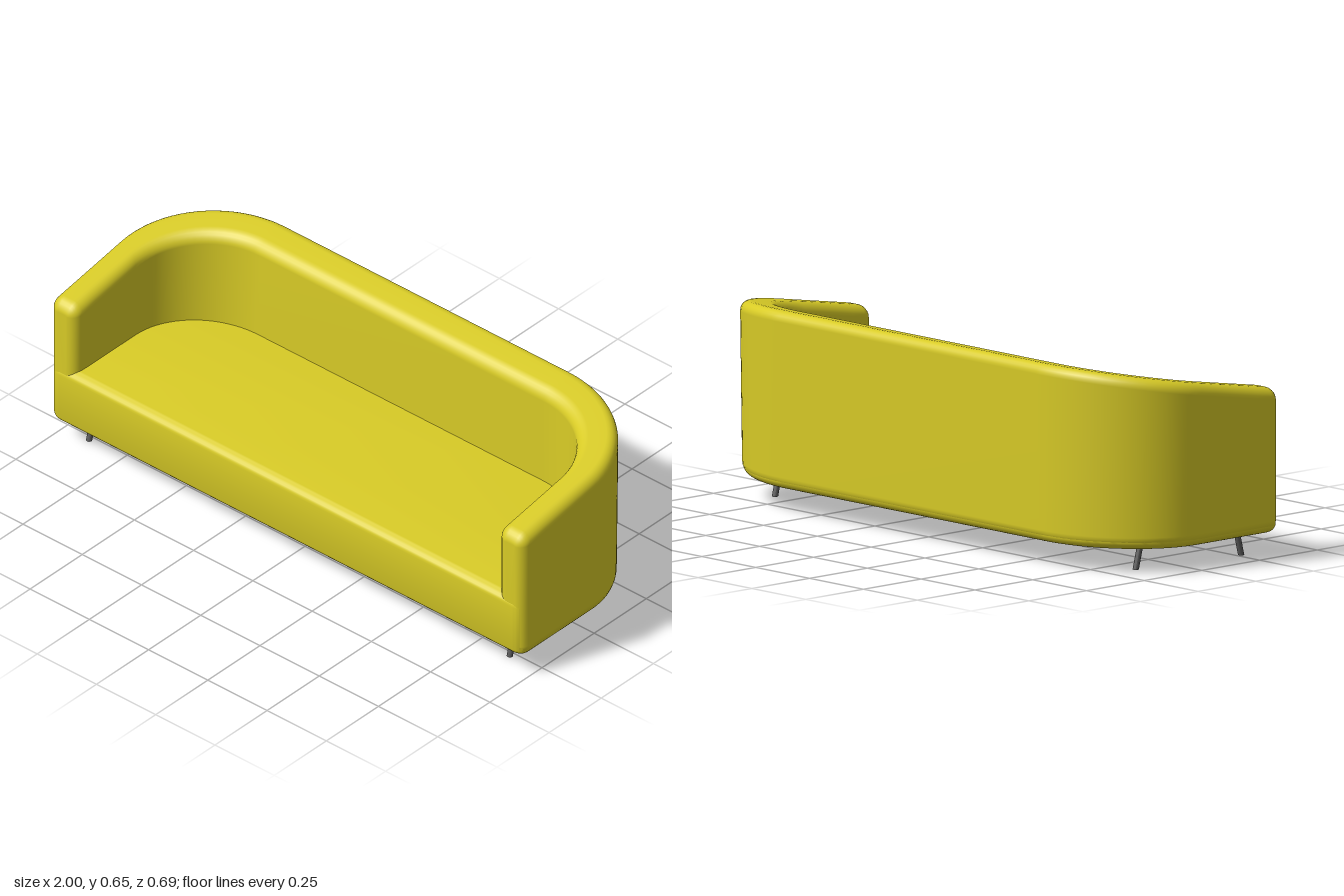
import * as THREE from 'three';
import { toCreasedNormals } from 'three/addons/utils/BufferGeometryUtils.js';

const FRONT = 0.342, BOTTOM = 0.08, R = 0.038;
const topAt = (z) => 0.549 + (0.3 - z) * 0.172;

// The back leans outwards slightly as it rises
const lean = (y, z) => (z < 0 ? z * (1 - 0.075 * (0.62 - y)) : z);

// Plan stations of the wall, from the left arm round the back to the right arm
function wallStations() {
  const half = [];
  for (let i = 0; i <= 6; i++) {            // rounded arm front
    const a = 0.08 + (i / 6) * (Math.PI / 2 - 0.08);
    const z = FRONT - R * (1 - Math.sin(a));
    half.push({ ox: 1, oz: FRONT - R + R * Math.cos(a), ix: 0.89, iz: FRONT - R + R * Math.cos(a), inset: R * (1 - Math.sin(a)), z });
  }
  for (let i = 1; i < 5; i++) {             // straight arm
    const t = i / 5, z0 = FRONT - R;
    half.push({ ox: 1, oz: z0 * (1 - t), ix: 0.89, iz: z0 + (0.05 - z0) * t, inset: 0 });
  }
  for (let i = 0; i <= 20; i++) {           // curved corner
    const a = (i / 20) * Math.PI / 2, c = Math.cos(a), s = Math.sin(a);
    half.push({ ox: 0.6 + 0.4 * c, oz: -0.345 * s, ix: 0.6 + 0.29 * c, iz: 0.05 - 0.262 * s, inset: 0 });
  }
  const mirrored = half.map((p) => ({ ...p, ox: -p.ox, ix: -p.ix })).reverse();
  return [...half, ...mirrored];
}

// Rounded rectangular section swept along the stations, with a sloping top
function wallGeometry() {
  const stations = wallStations(), pos = [], idx = [], N = 7, ring = 4 * N;
  for (const p of stations) {
    const dx = p.ix - p.ox, dz = p.iz - p.oz, w = Math.hypot(dx, dz);
    const r = R - p.inset, k = p.inset;
    const corners = [[w - R, 0, -90], [w - R, 1, 0], [R, 1, 90], [R, 0, 180]];
    for (const [cu, upper, start] of corners) {
      for (let j = 0; j < N; j++) {
        const a = THREE.MathUtils.degToRad(start + 90 * j / (N - 1));
        const u = (cu + r * Math.cos(a)) / w;
        const x = p.ox + dx * u, z = p.oz + dz * u;
        const y = (upper ? topAt(z) - R : BOTTOM + R) + (R - k) * Math.sin(a);
        pos.push(x, y, lean(y, z));
      }
    }
  }
  for (let i = 0; i < stations.length - 1; i++) {
    for (let j = 0; j < ring; j++) {
      const a = i * ring + j, b = i * ring + (j + 1) % ring;
      idx.push(a, b, a + ring, b, b + ring, a + ring);
    }
  }
  // Flat arm fronts
  const last = (stations.length - 1) * ring;
  for (let j = 1; j < ring - 1; j++) {
    idx.push(0, j + 1, j, last, last + j, last + j + 1);
  }
  const g = new THREE.BufferGeometry();
  g.setAttribute('position', new THREE.Float32BufferAttribute(pos, 3));
  g.setIndex(idx);
  g.computeVertexNormals();
  return g;
}

// Bevelled seat block that follows the same plan as the wall
function seatGeometry() {
  const X = 0.997, F = 0.344, c = 0.045, B = 0.03;
  const s = new THREE.Shape();
  s.moveTo(-X + c, -F);
  s.lineTo(X - c, -F);
  s.quadraticCurveTo(X, -F, X, -F + c);
  s.lineTo(X, 0);
  s.absellipse(0.6, 0, X - 0.6, 0.342, 0, Math.PI / 2, false);
  s.lineTo(-0.6, 0.342);
  s.absellipse(-0.6, 0, X - 0.6, 0.342, Math.PI / 2, Math.PI, false);
  s.lineTo(-X, -F + c);
  s.quadraticCurveTo(-X, -F, -X + c, -F);
  const bottom = BOTTOM - 0.002, top = 0.295;
  const g = new THREE.ExtrudeGeometry(s, {
    depth: top - bottom - 2 * B, bevelThickness: B, bevelSize: B, bevelOffset: -B, bevelSegments: 6, curveSegments: 20,
  });
  g.rotateX(-Math.PI / 2).translate(0, bottom + B, 0);
  const p = g.attributes.position;
  for (let i = 0; i < p.count; i++) p.setZ(i, lean(p.getY(i), p.getZ(i)));
  return toCreasedNormals(g, 0.6);
}

// Slanted leg, cut level at the floor
function legGeometry(splay) {
  const h = 0.1, g = new THREE.CylinderGeometry(0.01, 0.01, h, 16);
  g.translate(0, h / 2, 0);
  const p = g.attributes.position;
  for (let i = 0; i < p.count; i++) p.setZ(i, p.getZ(i) - splay * p.getY(i));
  g.computeVertexNormals();
  return toCreasedNormals(g, 0.7);
}

export function createModel() {
  const model = new THREE.Group();
  model.name = 'sofa';
  const fabric = new THREE.MeshStandardMaterial({ color: 0xd8cb26 });
  const metal = new THREE.MeshStandardMaterial({ color: 0x5a5a5a });
  const add = (name, geometry, material) => {
    const mesh = new THREE.Mesh(geometry, material);
    mesh.name = name;
    model.add(mesh);
    return mesh;
  };

  add('backAndArms', wallGeometry(), fabric);
  add('seat', seatGeometry(), fabric);

  // Legs splay towards the front and the back
  const legs = [
    ['frontLeftLeg', 0.88, 0.268, 0.25], ['frontRightLeg', -0.895, 0.268, 0.25],
    ['backLeftLeg', 0.83, -0.142, -0.25], ['backRightLeg', -0.845, -0.142, -0.25],
  ];
  for (const [name, x, z, splay] of legs) {
    add(name, legGeometry(splay), metal).position.set(x, 0, z);
  }
  return model;
}
